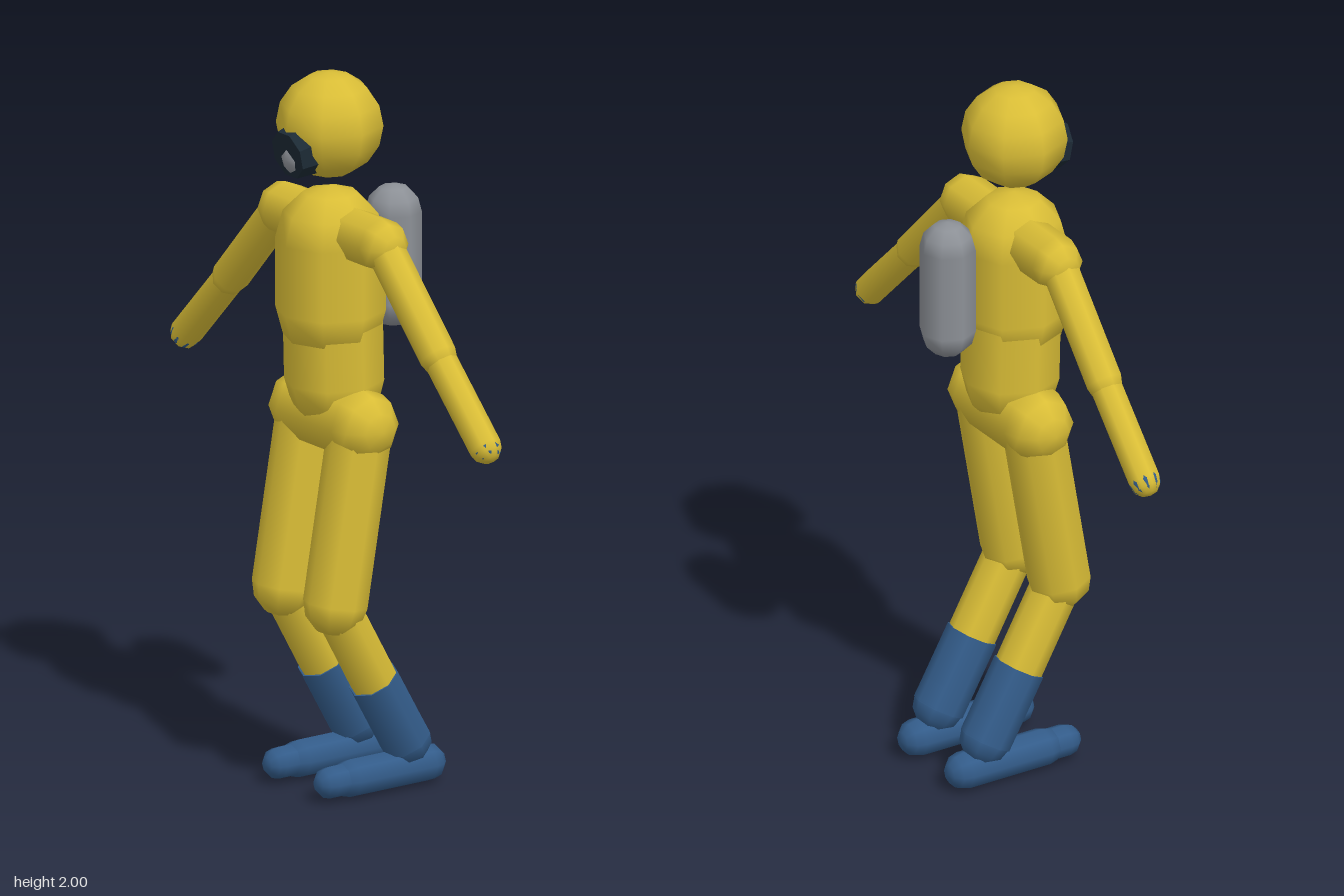
import * as THREE from 'three';

const mat = (name, color) => {
  const m = new THREE.MeshStandardMaterial({ color });
  m.name = name;
  return m;
};

export function createModel() {
  const suit = mat('yellow suit', 0xd9bd36);
  const boot = mat('blue boots', 0x335c8a);
  const grey = mat('grey metal', 0x8c9096);
  const dark = mat('dark visor', 0x1c2a35);
  const model = new THREE.Group();
  model.name = 'divingFigure';
  const up = new THREE.Vector3(0, 1, 0);

  const add = (parent, name, geometry, material, pos = [0, 0, 0]) => {
    const mesh = new THREE.Mesh(geometry, material);
    mesh.name = name;
    mesh.position.set(...pos);
    parent.add(mesh);
    return mesh;
  };

  // Eight-sided capsule between two cap centres
  const limb = (parent, name, a, b, r, material) => {
    const p = new THREE.Vector3(...a), q = new THREE.Vector3(...b);
    const dir = q.clone().sub(p);
    const mesh = add(parent, name, new THREE.CapsuleGeometry(r, dir.length(), 3, 8), material,
      p.clone().add(q).multiplyScalar(0.5).toArray());
    mesh.quaternion.setFromUnitVectors(up, dir.normalize());
    return mesh;
  };

  // Helmet with visor and mouthpiece
  add(model, 'helmet', new THREE.SphereGeometry(0.146, 8, 8), suit, [0, 1.857, 0.068]);
  const visorShape = new THREE.CylinderGeometry(0.068, 0.08, 0.085, 8).toNonIndexed();
  visorShape.rotateY(Math.PI / 8).rotateX(Math.PI / 2);
  visorShape.computeVertexNormals();
  const visor = add(model, 'visor', visorShape, dark, [0, 1.802, 0.168]);
  visor.rotation.x = 0.2;
  add(model, 'mouthpiece', new THREE.SphereGeometry(0.055, 8, 6), grey, [0, 1.783, 0.165]);

  // Torso and back tank
  limb(model, 'chest', [0, 1.34, 0.065], [0, 1.535, 0.065], 0.15, suit);
  limb(model, 'waist', [0, 1.14, 0.053], [0, 1.42, 0.06], 0.136, suit);
  limb(model, 'hips', [-0.123, 1.04, 0.055], [0.123, 1.04, 0.055], 0.102, suit);
  limb(model, 'shoulders', [-0.216, 1.568, 0.057], [0.216, 1.568, 0.057], 0.074, suit);
  limb(model, 'backTank', [0, 1.33, -0.146], [0, 1.575, -0.146], 0.077, grey);

  for (const s of [1, -1]) {
    const side = s > 0 ? 'left' : 'right';

    // Arm
    const arm = new THREE.Group();
    arm.name = side + 'Arm';
    model.add(arm);
    limb(arm, 'upperArm', [s * 0.23, 1.565, 0.058], [s * 0.465, 1.315, 0.052], 0.052, suit);
    limb(arm, 'forearm', [s * 0.445, 1.335, 0.052], [s * 0.671, 1.107, 0.047], 0.045, suit);
    const hand = add(arm, 'handTip', new THREE.SphereGeometry(0.0435, 8, 6), boot, [s * 0.671, 1.107, 0.047]);
    hand.rotation.set(0.2, 0.3, s * 0.8);

    // Leg with boot and foot
    const x = s * 0.115;
    const leg = new THREE.Group();
    leg.name = side + 'Leg';
    model.add(leg);
    limb(leg, 'thigh', [x, 1.03, 0.052], [x, 0.55, 0.135], 0.088, suit);
    limb(leg, 'shin', [x, 0.51, 0.115], [x, 0.24, -0.035], 0.067, suit);
    limb(leg, 'bootCap', [x, 0.25, -0.03], [x, 0.13, -0.1], 0.071, boot);
    const cuff = add(leg, 'bootCuff', new THREE.CylinderGeometry(0.072, 0.072, 0.22, 8), boot, [x, 0.22, -0.047]);
    cuff.rotation.x = Math.atan2(0.215, 0.38);
    limb(leg, 'foot', [x, 0.053, -0.17], [x, 0.053, 0.085], 0.053, boot);
    limb(leg, 'toe', [x, 0.053, 0.06], [x, 0.053, 0.153], 0.045, boot);
  }
  return model;
}
